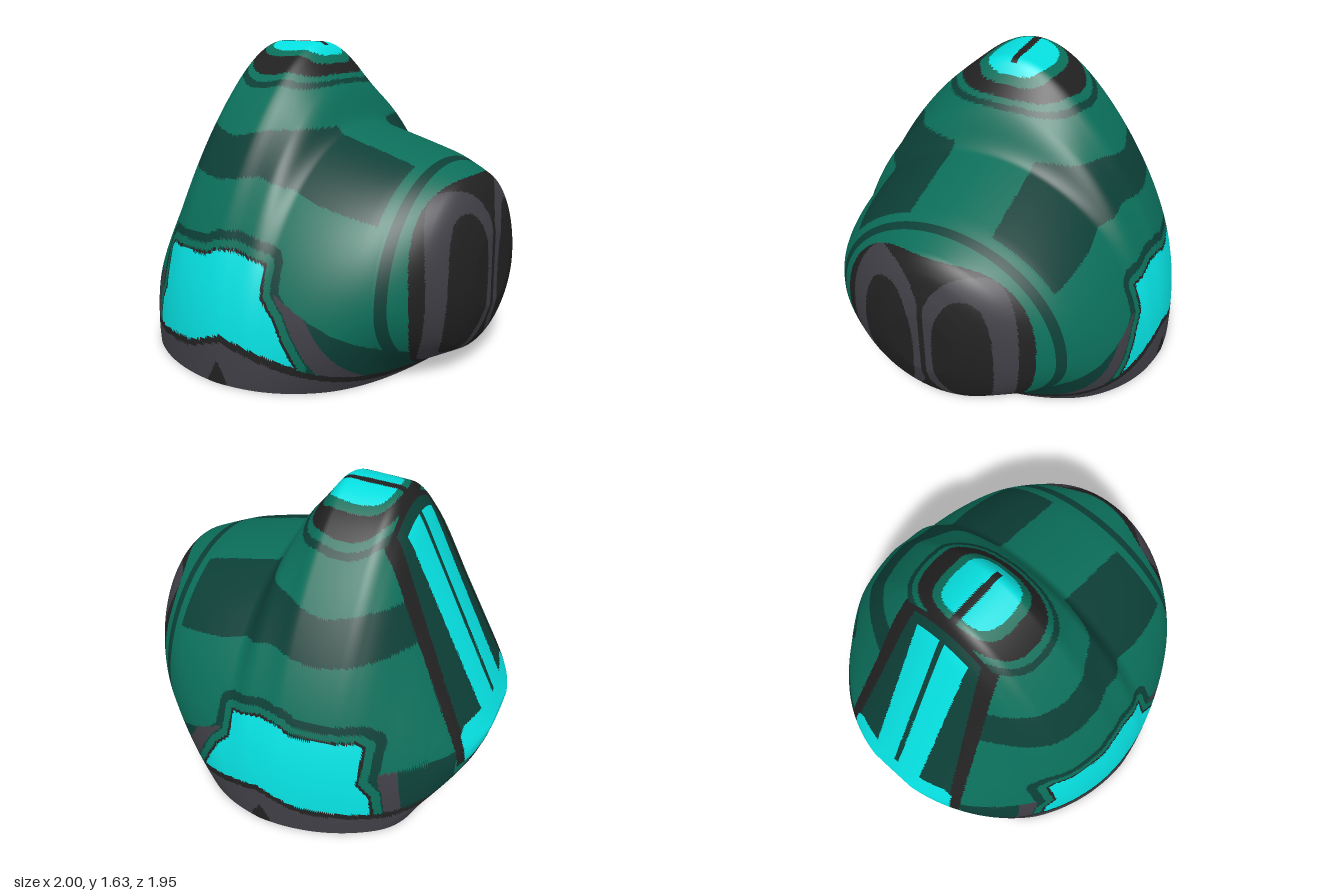
import * as THREE from 'three';

// Piecewise profile along x, softened by a small moving average
function profile(...pts) {
  const lin = x => {
    let i = 1;
    while (i < pts.length - 1 && x > pts[i][0]) i++;
    const [x0, v0] = pts[i - 1], [x1, v1] = pts[i];
    return v0 + (v1 - v0) * (x - x0) / (x1 - x0);
  };
  return x => {
    const r = Math.min(0.03, 1 - Math.abs(x));
    let s = 0;
    for (let k = -3; k <= 3; k++) s += lin(x + k * r / 3);
    return s / 7;
  };
}

// Cross-section rules along x
const crest = profile([-1, .4], [-.47, 1.5], [-.37, 1.63], [-.05, 1.63], [.08, 1.45], [.14, 1.38],
  [.21, 1.21], [.66, 1.09], [.9, 1], [.97, .88], [1, .72]);
const waist = profile([-1, .38], [-.77, .15], [-.6, .03], [0, 0], [.2, .07], [.66, .4], [1, .53]);
const under = profile([-1, .35], [-.97, .21], [-.92, .13], [-.77, 0], [-.6, -.5], [0, -1], [.5, -.35], [.7, 0],
  [.92, .11], [.97, .24], [1, .34]);
const width = x => .975 * Math.sqrt(1 - (x / (x < 0 ? 1.012 : 1.02)) ** 2) - (x > 0 ? .025 * Math.sin(Math.PI * x) : 0);

// Upper half of a section: tall and conical under the peak, elliptical along the nose
function arch(x, s) {
  const p = THREE.MathUtils.lerp(2.15 - 1.05 * s, 2, THREE.MathUtils.smoothstep(x, -.05, .22));
  return Math.sqrt(Math.max(0, 1 - s ** p));
}

// Outlines of the painted areas
const bandEdge = profile([-1, 1.02], [-.45, .99], [-.2, .96], [.05, 1], [.35, .89], [.66, .82]);
const bandTop = profile([-1, 1.2], [-.4, 1.21], [-.2, 1.165], [0, 1.21], [1, 1.21]);
const skirtEdge = profile([-1, .31], [-.87, .15], [-.65, .1], [-.2, .14], [.01, .215], [.2, .16], [.45, .09], [.72, 0]);
const windowOutline = [[-.5, .57], [-.46, .6], [-.14, .612], [-.08, .645], [.03, .655], [.2, .61], [.21, .46], [.29, .37],
  [.4, .15], [.01, .25], [-.2, .175], [-.57, .14], [-.55, .27], [-.49, .36]];

// Signed distance to the window outline, negative inside
function windowDistance(x, y) {
  let best = Infinity, hit = false;
  windowOutline.forEach(([a, b], i) => {
    const [c, d] = windowOutline[(i + 1) % windowOutline.length];
    const ex = c - a, ey = d - b;
    const t = THREE.MathUtils.clamp(((x - a) * ex + (y - b) * ey) / (ex * ex + ey * ey), 0, 1);
    best = Math.min(best, Math.hypot(x - a - t * ex, y - b - t * ey));
    if ((b > y) !== (d > y) && x < ex * (y - b) / ey + a) hit = !hit;
  });
  return hit ? -best : best;
}

const oval = (u, v, ru, rv, p = 2) => Math.abs(u / ru) ** p + Math.abs(v / rv) ** p < 1;

// End face: twin lobes in rings
function endColour(x, y, z) {
  if (z < .015 && y > .1 && y < .9) return 'black';
  if (oval(z - .212, y - .48, .158, .365, 2.3)) return 'black';
  if (oval(z - .23, y - .51, .25, .44, 2.3)) return 'grey';
  if (oval(z, y - .5, .55, .5, 2.3)) return 'black';
  return x < .765 && y > .1 ? 'teal' : null;
}

// Peak: bright cap in nested rings
function peakColour(x, z) {
  const u = x + .17;
  if (z < .02 && x < -.04) return 'black';
  if (oval(u, z, .17, .17, 3)) return 'cyan';
  if (oval(u, z, .2, .22, 3)) return 'green';
  if (oval(u, z, .24, .335, 2.5)) return 'black';
  if (oval(u, z, .26, .37, 2.5)) return 'green';
  return oval(u, z, .28, .4, 2.5) ? 'teal' : null;
}

// Sloping rear: dark rails, panel and bright strip with a wider foot
function rearColour(x, y, z) {
  if (x < -.89 && y < .5 && z < .05 - .36 * x) return 'cyan';
  if (x < -.46 && z > .015 && z < .165) return 'cyan';
  if (x < -.42 && z < .09 - .3 * x) return 'teal';
  return z < .2 - .26 * x ? 'black' : null;
}

// Flanks: window frames, lower patches and shoulder band
function flankColour(x, y, z) {
  const d = windowDistance(x, y);
  const front = x - .32 - .57 * (.41 - y), back = -.58 - .15 * (.4 - y) - x;
  if (d < .06) return d < 0 ? 'cyan' : d < .014 ? 'black' : d < .052 ? 'green' : 'teal';
  if (y < .4 && back > 0 && x > -.9) return back < .085 ? 'grey' : 'teal';
  if (front > 0 && y < .4 - .6 * (x - .43)) return front < .11 ? 'grey' : 'teal';
  if (d < .095) return 'teal';
  return x < .67 && z > .23 && y < bandTop(x) && y > bandEdge(x) ? 'teal' : null;
}

function colourAt(x, y, z) {
  const face = x > .72 && endColour(x, y, z);
  if (face) return face;
  const skirt = skirtEdge(x);
  if (y < skirt) return oval(x, y, .06, .11, 1.2) ? 'black' : 'grey';
  if (y < skirt + .035) return 'black';
  return (x > -.4 && y > 1.25 && peakColour(x, z))
    || (x < -.36 && y > .3 && rearColour(x, y, z))
    || flankColour(x, y, z) || 'green';
}

// Each colour: its hex value and the parts painted with it
const paints = {
  green: [0x0b6e5a, 'shellBody'],
  teal: [0x0c3f37, 'tealPanels'],
  cyan: [0x06dfe0, 'brightWindows'],
  grey: [0x3f3e45, 'skirtAndEndRings'],
  black: [0x222121, 'darkTrim'],
};

export function createModel() {
  const group = new THREE.Group();
  group.name = 'paintedShell';

  // Stations along x; both ends close towards a point
  const rows = [], N = 250, M = 264, CAP = 12;
  for (let i = 0; i < CAP; i++) rows.push([-1, i / CAP]);
  for (let i = 0; i <= N; i++) {
    const t = i / N;
    rows.push([t - .5 - .5 * Math.cos(Math.PI * t), 1]);
  }
  for (let i = CAP - 1; i >= 0; i--) rows.push([1, i / CAP]);

  // Arched cross-sections, open underneath where they meet the ground
  const pos = [];
  for (const [x, k] of rows) {
    const c = waist(x), h = crest(x), b = Math.min(under(x), c - .01), w = width(x);
    const low = Math.asin(Math.min(1, c / (c - b)));
    for (let j = 0; j <= M; j++) {
      const a = -low + (Math.PI + 2 * low) * j / M, s = Math.sin(a), q = Math.cos(a);
      const y = c + k * s * (s > 0 ? h - c : c - b);
      const z = k * w * (s > 0 ? Math.sign(q) * arch(x, s) : q);
      pos.push(x, Math.max(0, y), z);
    }
  }

  // Sort the faces by colour
  const lists = {}, all = [];
  for (const key in paints) lists[key] = [];
  const addFace = (...f) => {
    const [x, y, z] = [0, 1, 2].map(o => (pos[f[0] * 3 + o] + pos[f[1] * 3 + o] + pos[f[2] * 3 + o]) / 3);
    lists[colourAt(x, y, Math.abs(z))].push(...f);
    all.push(...f);
  };
  for (let i = 0; i < rows.length - 1; i++) {
    for (let j = 0; j < M; j++) {
      const a = i * (M + 1) + j, b = a + M + 1;
      addFace(a, b, a + 1);
      addFace(b, b + 1, a + 1);
    }
  }
  const whole = new THREE.BufferGeometry();
  whole.setAttribute('position', new THREE.Float32BufferAttribute(pos, 3));
  whole.setIndex(all);
  whole.computeVertexNormals();

  // One mesh per colour, sharing smooth normals across the borders
  for (const key in paints) {
    const [color, part] = paints[key];
    const material = new THREE.MeshStandardMaterial({ color, side: THREE.DoubleSide });
    material.name = key;
    const geometry = new THREE.BufferGeometry();
    geometry.setAttribute('position', whole.attributes.position);
    geometry.setAttribute('normal', whole.attributes.normal);
    geometry.setIndex(lists[key]);
    const mesh = new THREE.Mesh(geometry, material);
    mesh.name = part;
    group.add(mesh);
  }
  return group;
}
